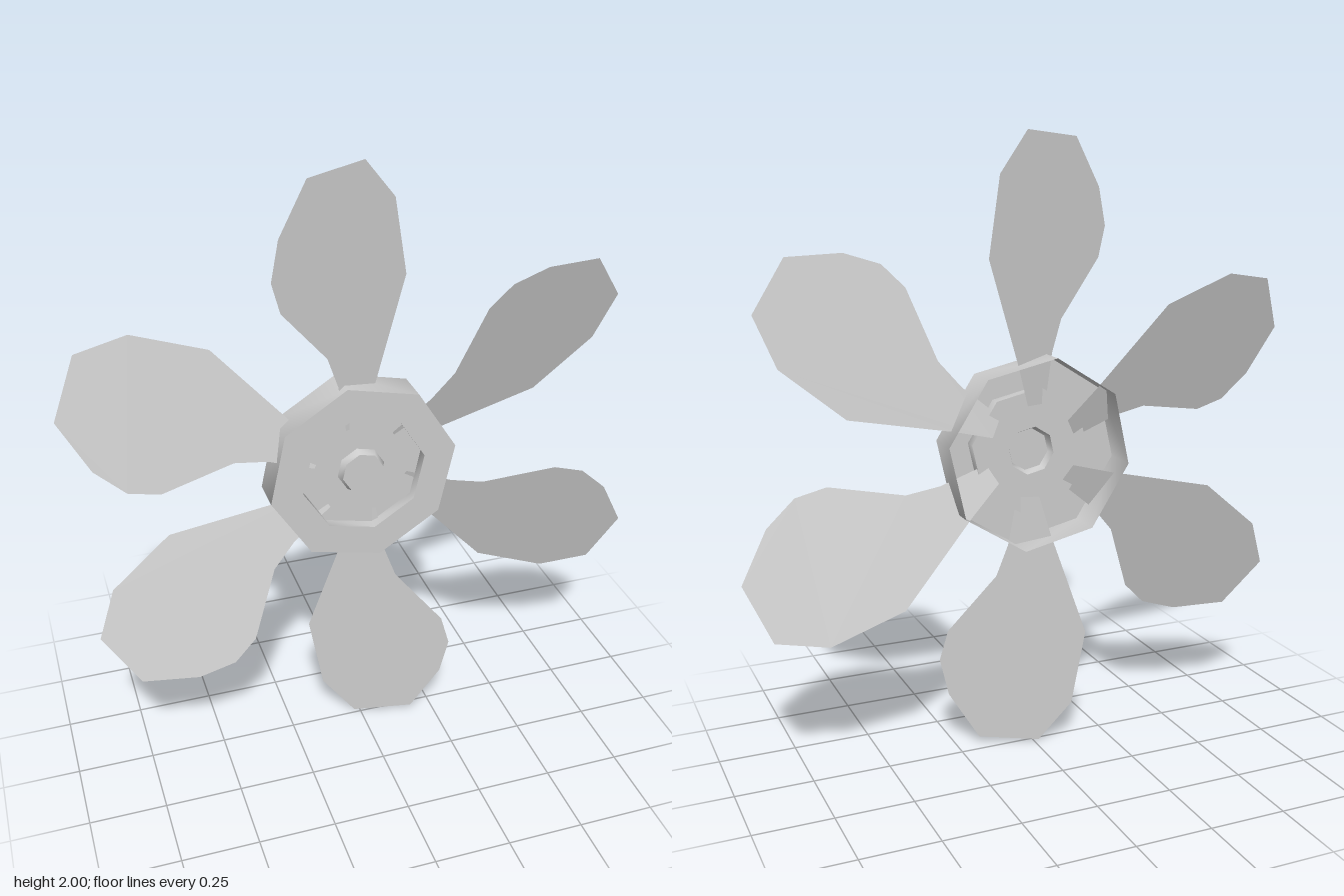
import * as THREE from 'three';
import { toCreasedNormals } from 'three/addons/utils/BufferGeometryUtils.js';

const material = new THREE.MeshStandardMaterial({ color: 0xcccccc, side: THREE.DoubleSide });

// Blade outline seen from the front, pointing up, measured from the hub centre
const BLADE_OUTLINE = [
  [-0.05, 0.15], [-0.077, 0.31], [-0.114, 0.415], [-0.267, 0.6], [-0.294, 0.7], [-0.267, 0.823],
  [-0.172, 0.98], [0.019, 1.0], [0.124, 0.87], [0.167, 0.62], [0.056, 0.28], [0.02, 0.15],
];
const PITCH = -0.318; // change of z per unit across the blade

// Octagonal pressed-sheet hub, open at the back: [radius, z] from rim to centre
function createHub() {
  const profile = [
    [0.313, -0.08], [0.313, 0.04], // outer wall
    [0.206, 0.04], [0.206, 0.003], // front ring and recess wall
    [0.079, 0.003], [0.069, 0.028], [0, 0.028], // floor and hollow centre boss
  ].map(([r, z]) => new THREE.Vector2(r, z));
  const lathe = new THREE.LatheGeometry(profile, 8, THREE.MathUtils.degToRad(10));
  lathe.rotateX(Math.PI / 2);
  const hub = new THREE.Mesh(toCreasedNormals(lathe, THREE.MathUtils.degToRad(50)), material);
  hub.name = 'hub';
  return hub;
}

// Thin flat blade, pitched about its long axis
function createBladeGeometry() {
  const shape = new THREE.Shape(BLADE_OUTLINE.map(([x, y]) => new THREE.Vector2(x, y)));
  const geometry = new THREE.ShapeGeometry(shape);
  const position = geometry.attributes.position;
  for (let i = 0; i < position.count; i++) {
    position.setZ(i, -0.009 + PITCH * position.getX(i));
  }
  geometry.computeVertexNormals();
  return geometry;
}

export function createModel() {
  const fan = new THREE.Group();
  fan.name = 'fan';

  const rotor = new THREE.Group();
  rotor.name = 'rotor';
  rotor.position.y = 1;
  rotor.add(createHub());

  // Six equal blades around the hub
  const bladeGeometry = createBladeGeometry();
  for (let i = 0; i < 6; i++) {
    const blade = new THREE.Mesh(bladeGeometry, material);
    blade.name = `blade${i + 1}`;
    blade.rotation.z = (i * Math.PI) / 3;
    rotor.add(blade);
  }

  fan.add(rotor);
  return fan;
}
